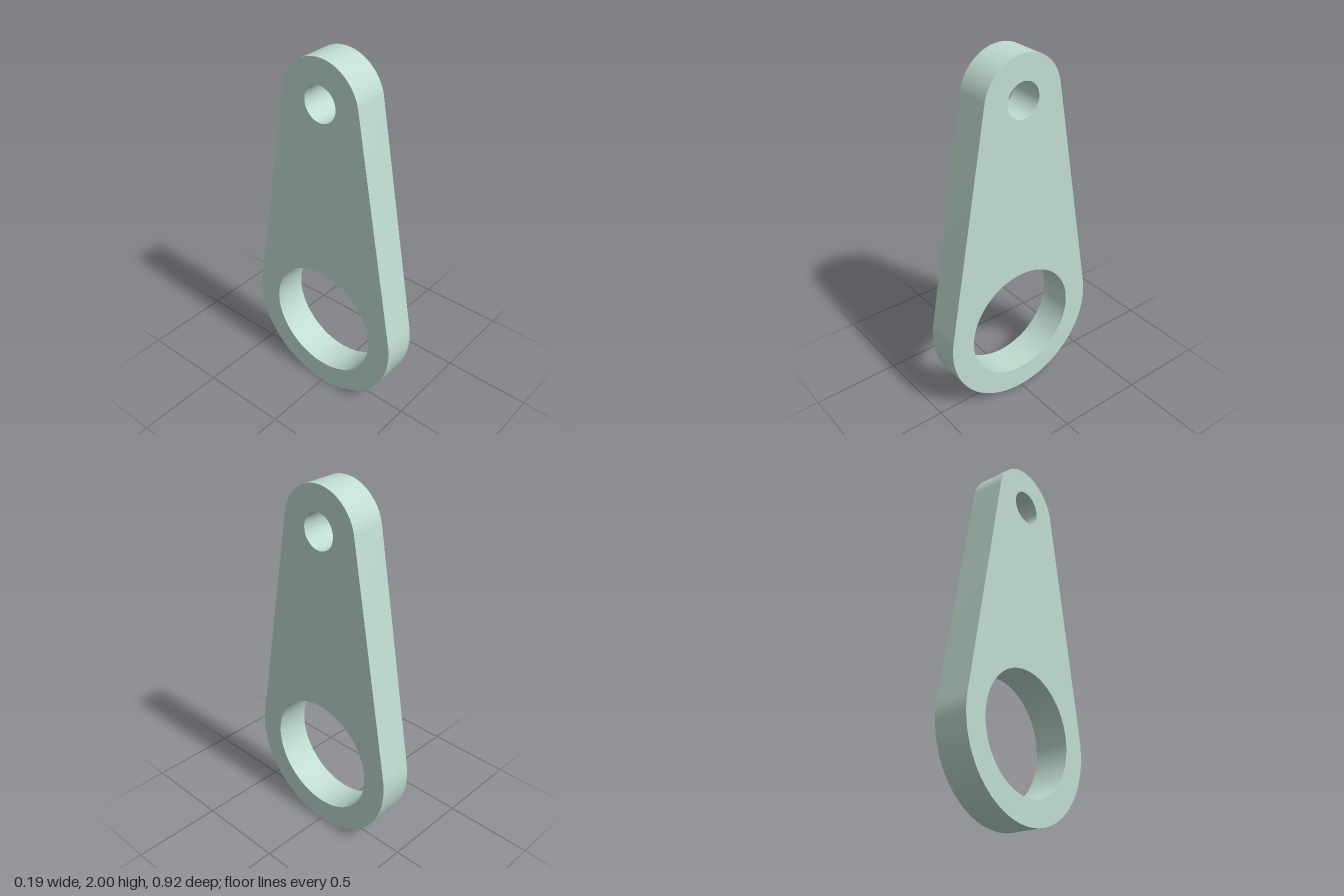
import * as THREE from 'three';
import { toCreasedNormals } from 'three/addons/utils/BufferGeometryUtils.js';

const THICKNESS = 0.19;
const BIG = { y: 0.46, r: 0.46, hole: 0.325 };
const SMALL = { y: 1.77, r: 0.23, hole: 0.095 };

function circularHole({ y, hole }) {
  return new THREE.Path().absarc(0, y, hole, 0, Math.PI * 2, true);
}

export function createModel() {
  const group = new THREE.Group();
  group.name = 'linkPlate';

  // Outline: two round ends joined by their common tangents
  const tilt = Math.asin((BIG.r - SMALL.r) / (SMALL.y - BIG.y));
  const outline = new THREE.Shape();
  outline.absarc(0, SMALL.y, SMALL.r, tilt, Math.PI - tilt, false);
  outline.absarc(0, BIG.y, BIG.r, Math.PI - tilt, Math.PI * 2 + tilt, false);
  outline.closePath();

  // Large bore below, small pin hole above
  outline.holes.push(circularHole(BIG), circularHole(SMALL));

  // Flat plate, turned so its faces look along x
  const geometry = new THREE.ExtrudeGeometry(outline, {
    depth: THICKNESS, bevelEnabled: false, curveSegments: 64,
  });
  geometry.translate(0, 0, -THICKNESS / 2);
  geometry.rotateY(Math.PI / 2);

  const plate = new THREE.Mesh(
    toCreasedNormals(geometry, 0.6),
    new THREE.MeshStandardMaterial({ color: 0xc0dcd0 }),
  );
  plate.name = 'plate';
  group.add(plate);
  return group;
}
